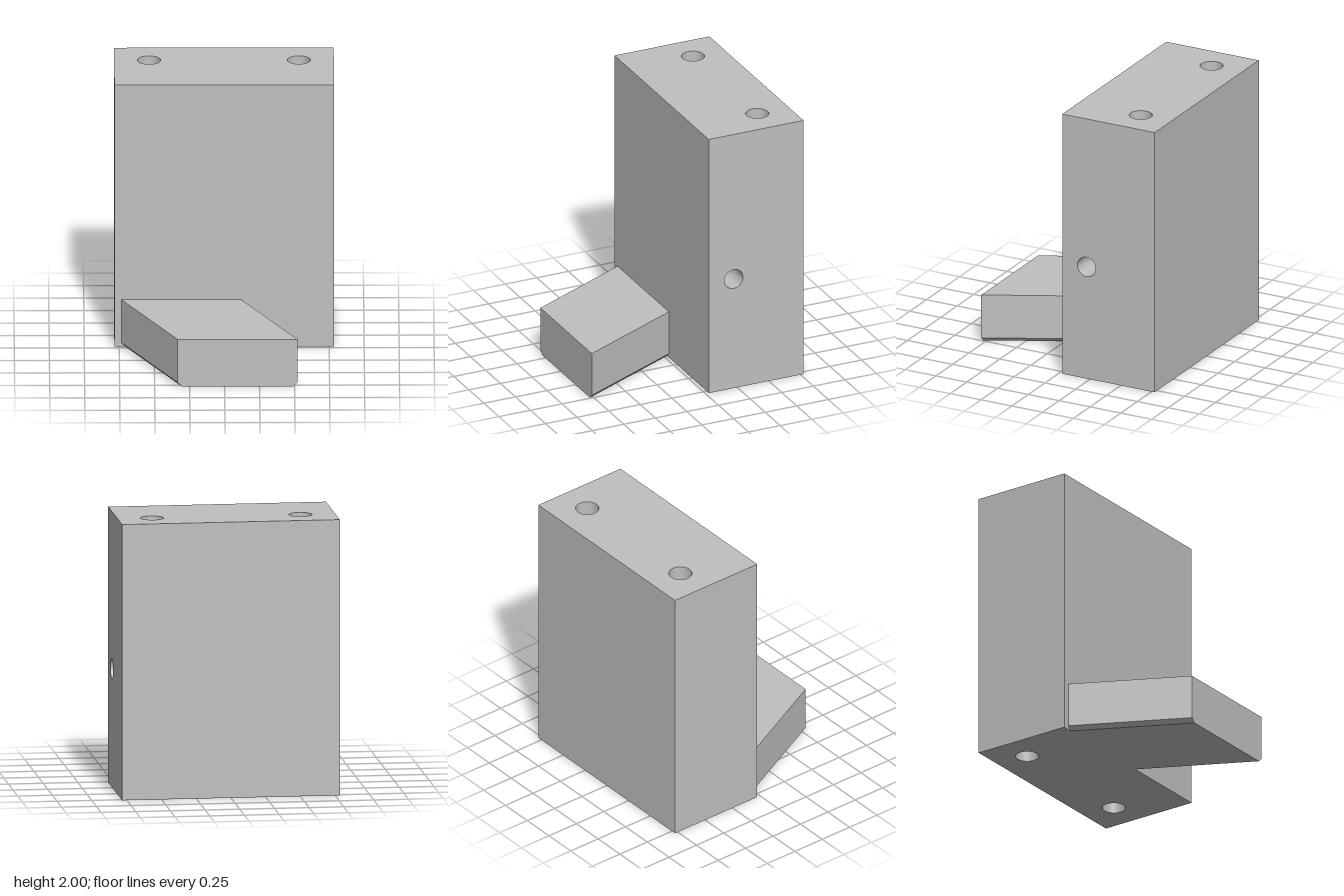
import * as THREE from 'three';

const W = 1.57, H = 2, BACK = -0.775, FRONT = -0.025, DEPTH = FRONT - BACK;
const MID = (FRONT + BACK) / 2;

const grey = new THREE.MeshStandardMaterial({ color: 0xbfbfbf, side: THREE.DoubleSide });
grey.name = 'plain grey';

// Flat rectangle, centred on its own origin, with round holes [u, v, radius]
function plate(w, h, holes = []) {
  const s = new THREE.Shape([
    new THREE.Vector2(-w / 2, -h / 2), new THREE.Vector2(w / 2, -h / 2),
    new THREE.Vector2(w / 2, h / 2), new THREE.Vector2(-w / 2, h / 2),
  ]);
  for (const [u, v, r] of holes) s.holes.push(new THREE.Path().absarc(u, v, r, 0, Math.PI * 2, true));
  return new THREE.ShapeGeometry(s, 24);
}

// Inward-facing wall of a round hole, mouth at the origin, running down -y
function bore(r, depth) {
  return new THREE.LatheGeometry([new THREE.Vector2(r, 0), new THREE.Vector2(r, -depth)], 48);
}

export function createModel() {
  const model = new THREE.Group();
  const add = (parent, name, geometry, x = 0, y = 0, z = 0) => {
    const m = new THREE.Mesh(geometry, grey);
    m.name = name;
    m.position.set(x, y, z);
    parent.add(m);
    return m;
  };

  // Tall block, walled so that the holes are truly open
  const block = new THREE.Group();
  block.name = 'block';
  model.add(block);
  const holeX = 0.535, holeZ = -0.527, holeR = 0.083;
  const dz = holeZ - MID;
  add(block, 'blockTop', plate(W, H - H + DEPTH, [[-holeX, -dz, holeR], [holeX, -dz, holeR]]).rotateX(-Math.PI / 2), 0, H, MID);
  add(block, 'blockBottom', plate(W, DEPTH, [[-holeX, dz, holeR], [holeX, dz, holeR]]).rotateX(Math.PI / 2), 0, 0, MID);
  add(block, 'blockFront', plate(W, H), 0, H / 2, FRONT);
  add(block, 'blockBack', plate(W, H).rotateY(Math.PI), 0, H / 2, BACK);
  add(block, 'blockRight', plate(DEPTH, H).rotateY(-Math.PI / 2), -W / 2, H / 2, MID);

  // Left wall with a blind cross hole
  const sideY = 0.86, sideZ = -0.222, sideR = 0.074, sideDepth = 0.5;
  add(block, 'blockLeft', plate(DEPTH, H, [[MID - sideZ, sideY - H / 2, sideR]]).rotateY(Math.PI / 2), W / 2, H / 2, MID);
  add(block, 'sideHoleWall', bore(sideR, sideDepth).rotateZ(-Math.PI / 2), W / 2, sideY, sideZ);
  add(block, 'sideHoleFloor', new THREE.CircleGeometry(sideR, 48).rotateY(Math.PI / 2), W / 2 - sideDepth, sideY, sideZ);

  // Two vertical through holes
  for (const x of [-holeX, holeX]) add(block, 'verticalHoleWall', bore(holeR, H), x, H, holeZ);

  // Slanted foot: a bar with chamfered lower edges, sheared sideways toward the front
  const x0 = -0.735, x1 = 0.12, c = 0.03, footH = 0.36, reach = 0.8;
  const profile = new THREE.Shape([
    [x0 + c, 0], [x1 - c, 0], [x1, c], [x1, footH], [x0, footH], [x0, c],
  ].map(([x, y]) => new THREE.Vector2(x, y)));
  const foot = new THREE.ExtrudeGeometry(profile, { depth: reach, bevelEnabled: false });
  foot.applyMatrix4(new THREE.Matrix4().set(1, 0, 0.5, 0, 0, 1, 0, 0, 0, 0, 1, 0, 0, 0, 0, 1));
  foot.computeVertexNormals();
  add(model, 'slantedFoot', foot, 0, 0, FRONT);

  return model;
}
